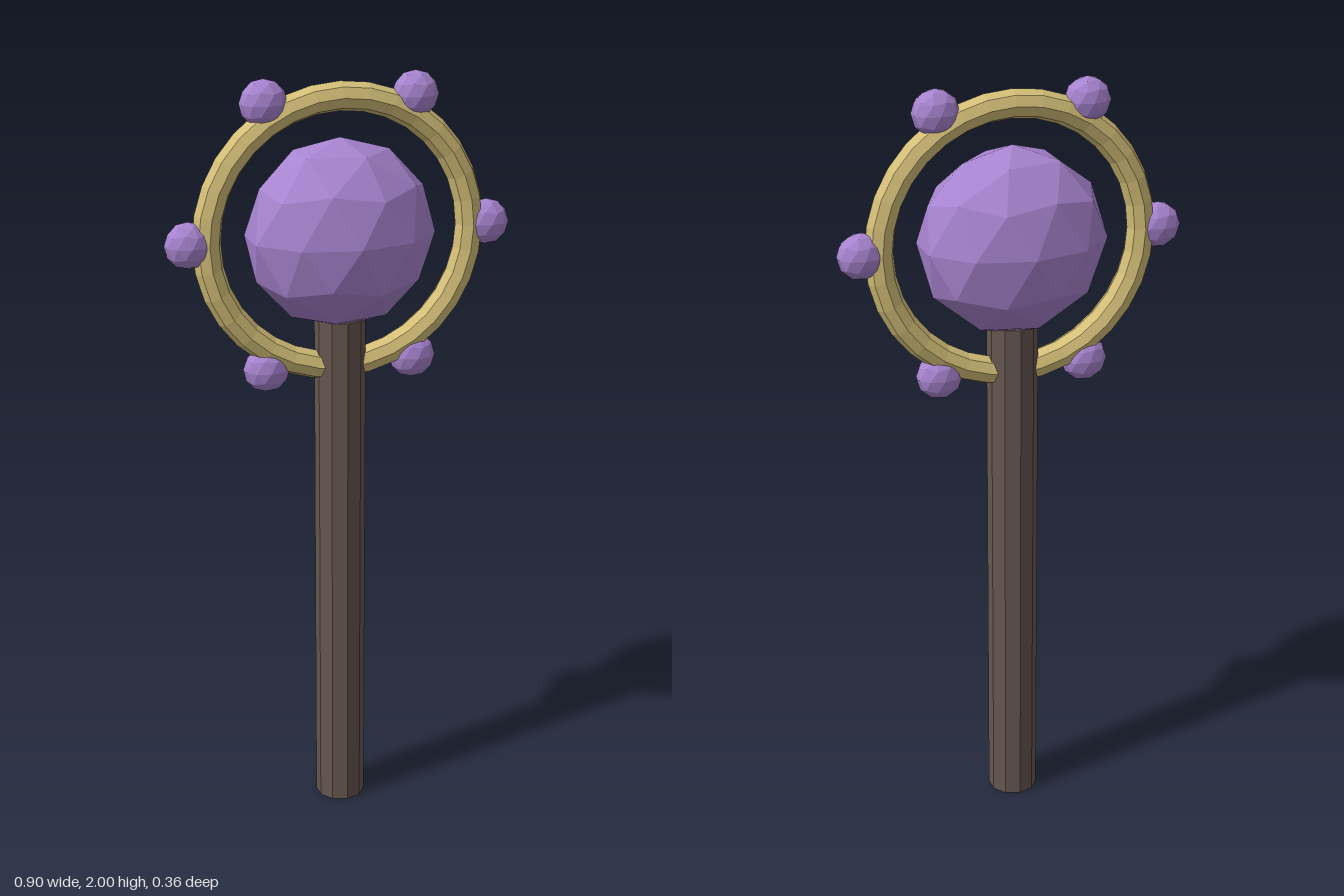
import * as THREE from 'three';

const material = (color) => new THREE.MeshStandardMaterial({ color, flatShading: true });
const wood = material(0x665650);
const gold = material(0xd4bf78);
const crystal = material(0xa884d0);

const CENTRE_Y = 1.6;

// Faceted ball with one corner straight up and an upper corner facing +x
function facetedBall() {
  const ball = new THREE.IcosahedronGeometry(1, 1);
  ball.rotateX(-Math.atan((1 + Math.sqrt(5)) / 2));
  ball.rotateY(Math.PI / 2);
  return ball;
}

export function createModel() {
  const model = new THREE.Group();
  model.name = 'staff';

  function add(name, geometry, mat, x, y, z = 0) {
    const mesh = new THREE.Mesh(geometry, mat);
    mesh.name = name;
    mesh.position.set(x, y, z);
    model.add(mesh);
    return mesh;
  }

  // Ten-sided handle, ending just inside the orb
  add('shaft', new THREE.CylinderGeometry(0.066, 0.066, 1.38, 10), wood, 0, 0.69);

  // Large crystal, flattened front to back
  const ball = facetedBall();
  add('orb', ball, crystal, 0, CENTRE_Y).scale.set(0.247, 0.245, 0.182);

  // Hoop around the orb
  add('ring', new THREE.TorusGeometry(0.347, 0.037, 8, 32), gold, 0, CENTRE_Y);

  // Six small crystals spaced evenly around the hoop
  for (let i = 0; i < 6; i++) {
    const a = (i * Math.PI) / 3;
    const x = 0.393 * Math.cos(a);
    const y = CENTRE_Y + 0.393 * Math.sin(a);
    add(`gem${i + 1}`, ball, crystal, x, y).scale.set(0.061, 0.06, 0.048);
  }

  return model;
}
